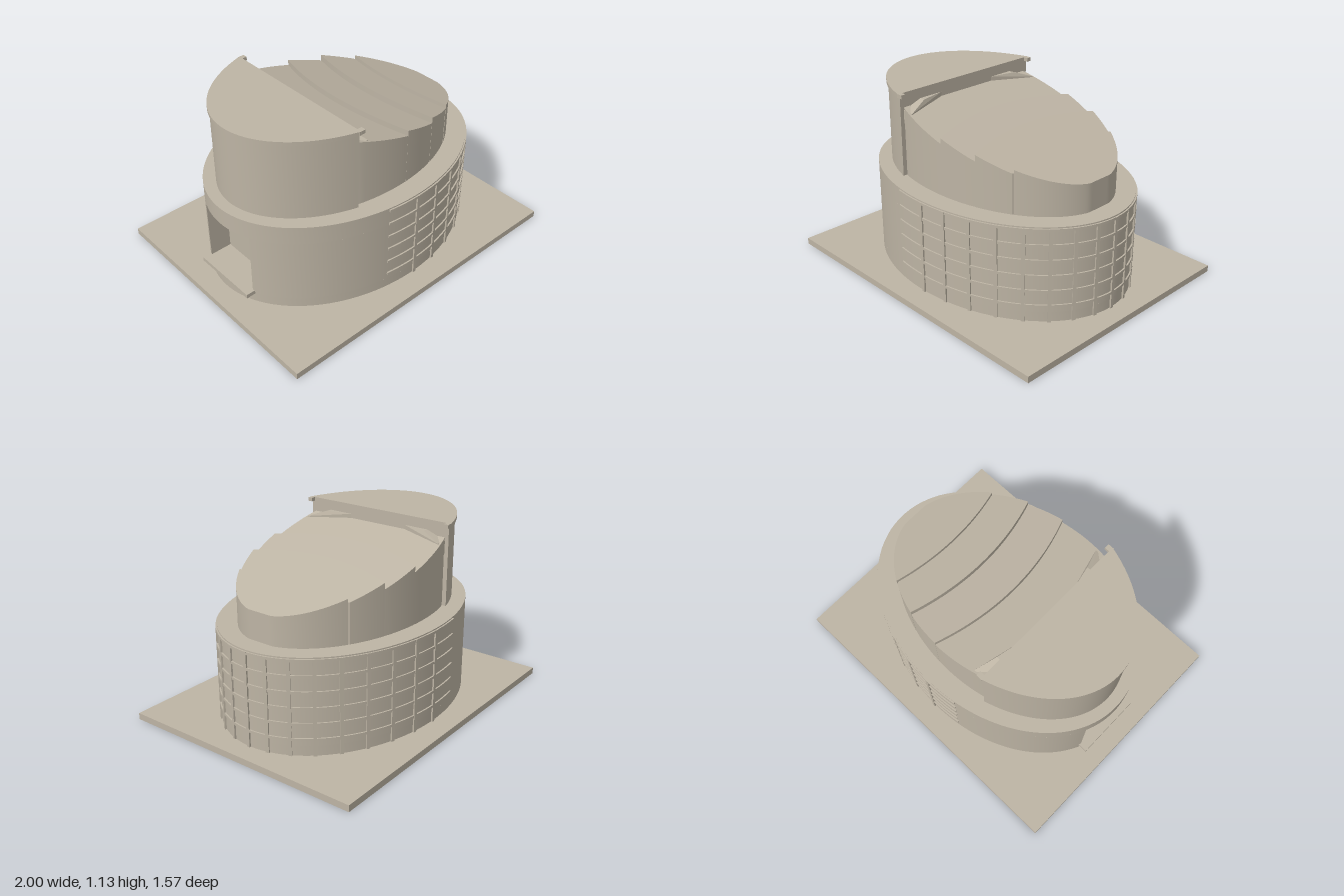
import * as THREE from 'three';
import { toCreasedNormals } from 'three/addons/utils/BufferGeometryUtils.js';
import { ConvexGeometry } from 'three/addons/geometries/ConvexGeometry.js';

const stone = new THREE.MeshStandardMaterial({ color: 0xbdb4a4 });
stone.name = 'warm stone';

// Points [x, z] along an ellipse arc in plan
function arc(cx, a, b, t0, t1, n = 96) {
  return Array.from({ length: n + 1 }, (_, i) => {
    const t = t0 + (t1 - t0) * i / n;
    return [cx + a * Math.cos(t), b * Math.sin(t)];
  });
}

// Vertical prism over a plan outline; topAt(x) optionally slopes its top
function prism(points, y0, y1, topAt) {
  const shape = new THREE.Shape(points.map(([x, z]) => new THREE.Vector2(x, -z)));
  const geo = new THREE.ExtrudeGeometry(shape, { depth: y1 - y0, bevelEnabled: false });
  geo.rotateX(-Math.PI / 2).translate(0, y0, 0);
  if (topAt) {
    const p = geo.attributes.position;
    for (let i = 0; i < p.count; i++) {
      if (p.getY(i) > (y0 + y1) / 2) p.setY(i, topAt(p.getX(i)));
    }
  }
  return toCreasedNormals(geo, 0.45);
}

export function createModel() {
  const model = new THREE.Group();
  const add = (name, geo, parent = model) => {
    const mesh = new THREE.Mesh(geo, stone);
    mesh.name = name;
    parent.add(mesh);
    return mesh;
  };
  const box = (name, x0, x1, y0, y1, z0, z1) =>
    add(name, new THREE.BoxGeometry(x1 - x0, y1 - y0, z1 - z0)
      .translate((x0 + x1) / 2, (y0 + y1) / 2, (z0 + z1) / 2));

  box('basePlate', -1, 1, 0, 0.04, -0.785, 0.785);

  // Lower oval drum in three layers, the middle one notched for the doorway
  const A = 0.88, B = 0.645, doorZ = 0.2;
  const oval = arc(0, A, B, 0, Math.PI * 2, 128).slice(0, -1);
  const jamb = Math.PI - Math.asin(doorZ / B);
  const notched = [...arc(0, A, B, -jamb, jamb, 120), [-0.7, doorZ], [-0.7, -doorZ]];
  add('drumFoot', prism(oval, 0.04, 0.1));
  add('drumWall', prism(notched, 0.1, 0.51));
  add('drumRim', prism(oval, 0.51, 0.625));
  box('doorLedge', -0.89, -0.69, 0.095, 0.12, -0.213, 0.213);

  // Raised lattice around the left half of the drum
  const lattice = new THREE.Group();
  lattice.name = 'facadeLattice';
  model.add(lattice);
  const end = THREE.MathUtils.degToRad(102.5);
  const band = [...arc(0, A + 0.009, B + 0.009, -end, end), ...arc(0, A - 0.01, B - 0.01, end, -end)];
  for (let i = 0; i < 6; i++) {
    const y = 0.141 + i * 0.0937;
    add('latticeRing', prism(band, y - 0.008, y + 0.008), lattice);
  }
  for (let i = -8; i <= 8; i++) {
    const t = THREE.MathUtils.degToRad(i * 11.1);
    const bar = add('latticePost', new THREE.BoxGeometry(0.02, 0.577, 0.02), lattice);
    bar.position.set(A * Math.cos(t), 0.3285, B * Math.sin(t));
    bar.rotation.y = Math.atan2(Math.cos(t) / A, Math.sin(t) / B);
  }

  // Tall half-oval tower, its cap and the cap's end tabs
  const cut = -0.31;
  const halfOval = (a, b) => {
    const t = Math.acos(cut / a);
    return arc(0, a, b, t, Math.PI * 2 - t, 64);
  };
  add('tower', prism(halfOval(0.81, 0.55), 0.625, 1.112));
  add('towerCap', prism(halfOval(0.82, 0.562), 1.112, 1.135));
  for (const s of [-1, 1]) {
    const z = s * 0.505;
    box('capTab', cut - 0.01, -0.28, 1.112, 1.135, z - 0.015, z + 0.015);
  }

  // Sloping roof: overlapping courses with curved risers facing the tower
  const cx = -0.02, a = 0.79, b = 0.52;
  const half = z => a * Math.sqrt(Math.max(0, 1 - (z / b) ** 2));
  const curve = (x0, z) => x0 + 0.37 * z * z;
  const courses = [[cut, 1.047, 0.3], [-0.05, 1.005, 0.32], [0.2, 0.965, 0.34], [0.44, 0.908, 0.34]];
  courses.forEach(([x0, y0, slope], k) => {
    // Find where the riser curve meets the oval
    let reach = b;
    if (k > 0) {
      let lo = 0, hi = b;
      for (let i = 0; i < 40; i++) {
        const mid = (lo + hi) / 2;
        if (curve(x0, mid) < cx + half(mid)) lo = mid; else hi = mid;
      }
      reach = lo;
    }
    const left = [], right = [], n = 64;
    for (let i = 0; i <= n; i++) {
      const z = reach * Math.sin((i / n - 0.5) * Math.PI);
      left.push([k ? curve(x0, z) : Math.max(cut, cx - half(z)), z]);
      const next = courses[k + 1];
      right.push([Math.min(cx + half(z), 0.76, next ? curve(next[0], z) : 1), z]);
    }
    const outline = [...left, ...right.slice(1, -1).reverse()];
    add('roofCourse', prism(outline, 0.625, 0.8, x => y0 - slope * (x - x0)));
  });

  // Small sloped corner wedges between the tower and the roof
  for (const s of [-1, 1]) {
    const plan = [[cut, 0.2, 1.073], [cut, 0.36, 1.073], [-0.275, 0.36, 1.073],
      [-0.23, 0.488, 1.028], [cut, 0.484, 1.028]];
    const pts = plan.flatMap(([x, z, y]) =>
      [new THREE.Vector3(x, y, s * z), new THREE.Vector3(x, 0.95, s * z)]);
    add('roofCornerWedge', new ConvexGeometry(pts));
  }
  return model;
}
